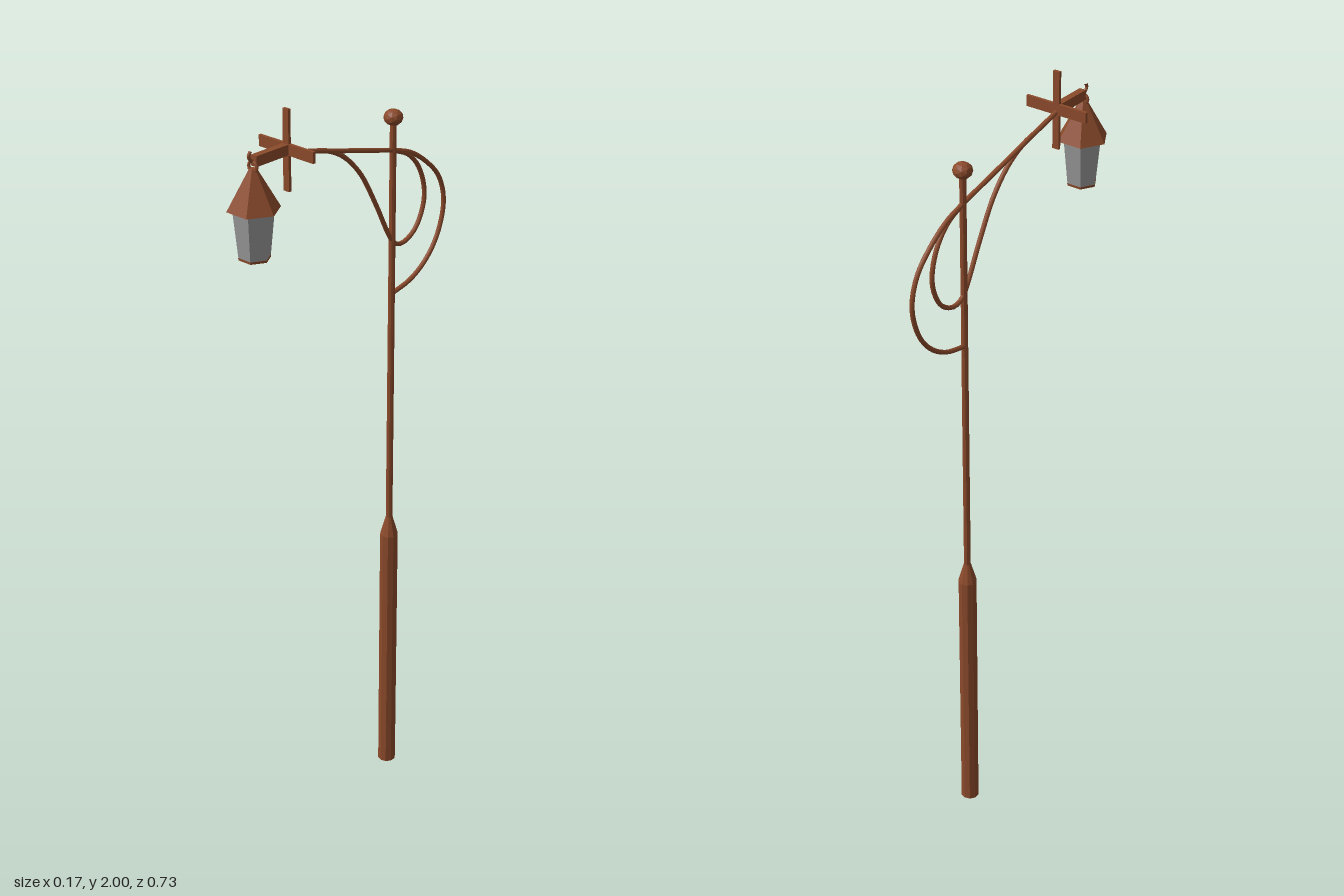
import * as THREE from 'three';

const POLE_Z = -0.167;
const LAMP_Z = 0.311;

export function createModel() {
  const model = new THREE.Group();
  model.name = 'streetLamp';
  const rust = new THREE.MeshStandardMaterial({ color: 0x8b4a2b, flatShading: true });
  const rustSmooth = new THREE.MeshStandardMaterial({ color: 0x8b4a2b });
  const glass = new THREE.MeshStandardMaterial({ color: 0x999999, flatShading: true });

  const add = (name, geometry, x, y, z, material = rust) => {
    const mesh = new THREE.Mesh(geometry, material);
    mesh.name = name;
    mesh.position.set(x, y, z);
    model.add(mesh);
    return mesh;
  };

  // Round rod through [z, y] points in the middle plane
  const rod = (name, points, radius, segments) => {
    const curve = new THREE.CatmullRomCurve3(points.map(([z, y]) => new THREE.Vector3(0, y, z)));
    return add(name, new THREE.TubeGeometry(curve, segments, radius, 8), 0, 0, 0, rustSmooth);
  };

  // Post: thick base, tapered shoulder, slim pole and finial
  const profile = [[0, 0], [0.024, 0], [0.024, 0.725], [0.009, 0.778], [0.0085, 1.875], [0, 1.875]];
  add('post', new THREE.LatheGeometry(profile.map(([r, y]) => new THREE.Vector2(r, y)), 10), 0, 0, POLE_Z);
  const finial = add('finial', new THREE.IcosahedronGeometry(0.0245, 1), 0, 1.884, POLE_Z);
  finial.scale.y = 0.85;

  // Straight bracket arm
  rod('bracketArm', [[0.2, 1.896], [POLE_Z, 1.8]], 0.006, 1);

  // Large scroll behind the post
  rod('outerScroll', [
    [POLE_Z, 1.8], [-0.23, 1.778], [-0.29, 1.738], [-0.34, 1.685], [-0.361, 1.615],
    [-0.342, 1.535], [-0.3, 1.477], [-0.24, 1.438], [POLE_Z, 1.42],
  ], 0.006, 40);

  // Brace that sweeps under the arm and loops back up to the post
  rod('innerScroll', [
    [0.12, 1.875], [0.07, 1.863], [0.01, 1.832], [-0.05, 1.772], [-0.106, 1.677], [-0.155, 1.582],
    [-0.175, 1.555], [-0.206, 1.546], [-0.255, 1.572], [-0.286, 1.645], [-0.268, 1.722],
    [-0.225, 1.773], [POLE_Z, 1.8],
  ], 0.006, 56);

  // Flat cross with a bar reaching forward to the lantern
  add('crossUpright', new THREE.BoxGeometry(0.018, 0.2, 0.008), 0, 1.9, 0.2);
  add('crossBar', new THREE.BoxGeometry(0.174, 0.028, 0.008), 0, 1.903, 0.2);
  add('hangingBar', new THREE.BoxGeometry(0.018, 0.026, 0.108), 0, 1.903, 0.254);

  // Hook and ring holding the lantern
  rod('hook', [[0.306, 1.903], [0.318, 1.907], [0.324, 1.918], [0.318, 1.928]], 0.004, 12);
  add('hangingRing', new THREE.TorusGeometry(0.013, 0.004, 6, 12), 0, 1.89, LAMP_Z, rustSmooth);

  // Six-sided lantern; corners point to both sides
  const hexagon = (top, bottom, height) =>
    new THREE.CylinderGeometry(top, bottom, height, 6).rotateY(Math.PI / 2 - Math.PI / 3);
  add('lanternRoof', hexagon(0.009, 0.065, 0.099), 0, 1.8365, LAMP_Z);
  add('lanternGlass', hexagon(0.051, 0.039, 0.118), 0, 1.73, LAMP_Z, glass);
  add('lanternFloor', hexagon(0.0395, 0.039, 0.006), 0, 1.668, LAMP_Z);

  return model;
}
